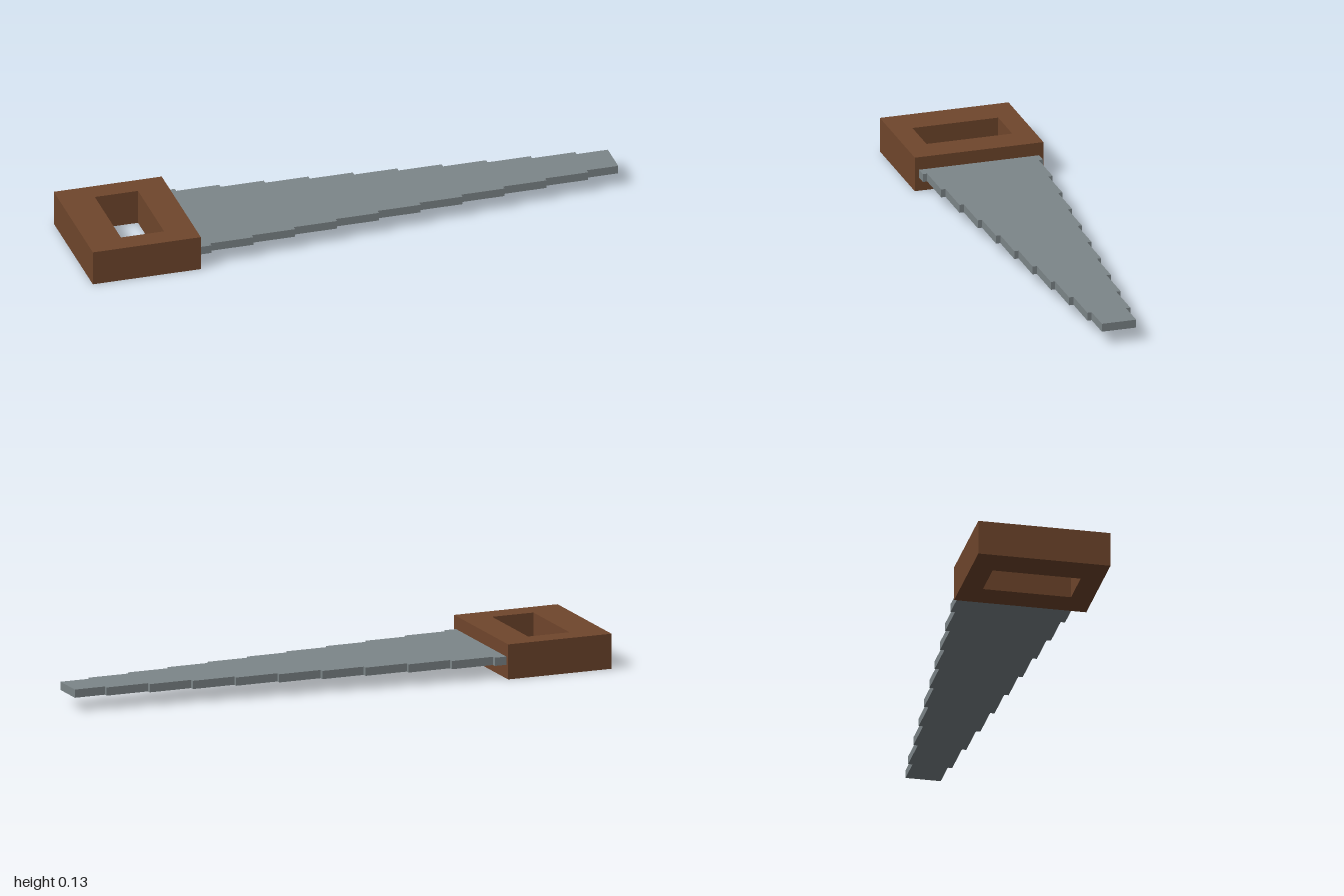
import * as THREE from 'three';

// Extrude a plan-view outline (x, z) upward from y0 to y1
function slab(shape, y0, y1) {
  const geo = new THREE.ExtrudeGeometry(shape, { depth: y1 - y0, bevelEnabled: false });
  geo.rotateX(-Math.PI / 2);
  geo.translate(0, y0, 0);
  return geo;
}

// Rectangle corners centred on z = 0
function rect(x0, x1, halfZ) {
  return [[x0, -halfZ], [x1, -halfZ], [x1, halfZ], [x0, halfZ]].map(([x, z]) => new THREE.Vector2(x, z));
}

export function createModel() {
  const wood = new THREE.MeshStandardMaterial({ color: 0x70462c });
  wood.name = 'brown wood';
  const steel = new THREE.MeshStandardMaterial({ color: 0x7d8689 });
  steel.name = 'grey steel';

  const model = new THREE.Group();
  model.name = 'handSaw';

  // Handle: block with a rectangular grip hole
  const handleShape = new THREE.Shape(rect(-1, -0.6, 0.24));
  handleShape.holes.push(new THREE.Path(rect(-0.872, -0.712, 0.16).reverse()));
  const handle = new THREE.Mesh(slab(handleShape, 0, 0.128), wood);
  handle.name = 'handle';
  model.add(handle);

  // Blade: narrows in even steps toward the tip, mirrored on both edges
  const steps = 11, stepLength = 0.16, firstEnd = -0.556;
  const edge = [];
  for (let i = 0; i < steps; i++) {
    const half = 0.224 - i * 0.016;
    const start = i === 0 ? -0.61 : firstEnd + (i - 1) * stepLength;
    const end = i === steps - 1 ? 1 : firstEnd + i * stepLength;
    edge.push(new THREE.Vector2(start, -half), new THREE.Vector2(end, -half));
  }
  const mirrored = edge.map((p) => new THREE.Vector2(p.x, -p.y)).reverse();
  const blade = new THREE.Mesh(slab(new THREE.Shape([...edge, ...mirrored]), 0.05, 0.08), steel);
  blade.name = 'blade';
  model.add(blade);

  return model;
}
